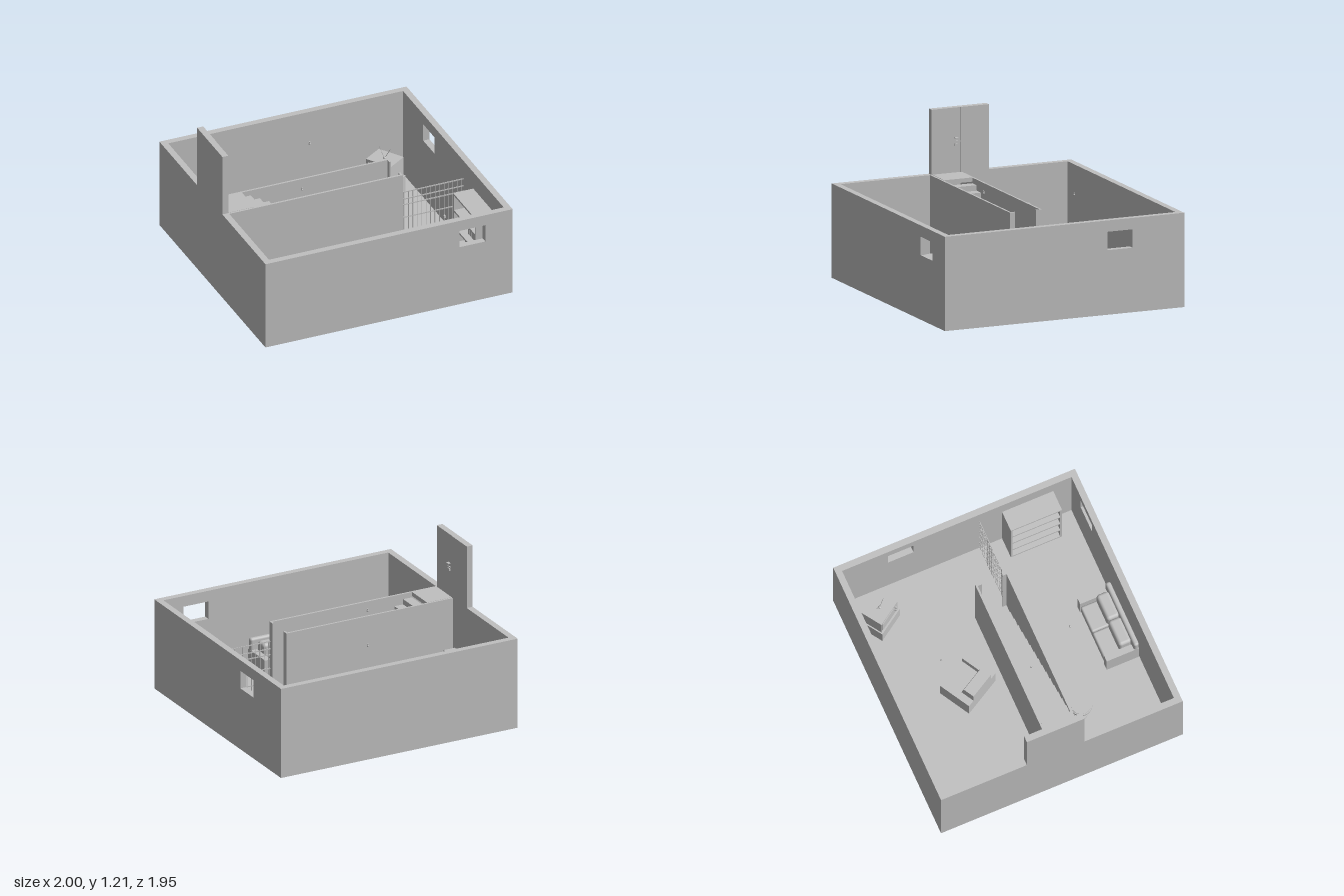
import * as THREE from 'three';
import { RoundedBoxGeometry } from 'three/addons/geometries/RoundedBoxGeometry.js';

// double sided because the walls are open underneath
const grey = new THREE.MeshStandardMaterial({ color: 0xc0c0c0, side: THREE.DoubleSide });
grey.name = 'plain grey';

const TOP = 0.716, FLOOR = 0.004, DEPTH = 0.977, T = 0.05;

function add(parent, name, geometry, x = 0, y = 0, z = 0) {
  const mesh = new THREE.Mesh(geometry, grey);
  mesh.name = name;
  mesh.position.set(x, y, z);
  parent.add(mesh);
  return mesh;
}

// box given by its lowest and highest corners
function span(parent, name, x0, x1, y0, y1, z0, z1) {
  return add(parent, name, new THREE.BoxGeometry(x1 - x0, y1 - y0, z1 - z0),
    (x0 + x1) / 2, (y0 + y1) / 2, (z0 + z1) / 2);
}

function softSpan(parent, name, x0, x1, y0, y1, z0, z1, r = 0.015) {
  return add(parent, name, new RoundedBoxGeometry(x1 - x0, y1 - y0, z1 - z0, 3, r),
    (x0 + x1) / 2, (y0 + y1) / 2, (z0 + z1) / 2);
}

// removes the faces lying on the underside
function openBelow(mesh) {
  const flat = mesh.geometry.index ? mesh.geometry.toNonIndexed() : mesh.geometry;
  flat.computeBoundingBox();
  const p = flat.attributes.position, low = flat.boundingBox.min.y + 1e-4, keep = [];
  for (let i = 0; i < p.count; i += 3) {
    if (Math.max(p.getY(i), p.getY(i + 1), p.getY(i + 2)) > low) keep.push(i, i + 1, i + 2);
  }
  flat.clearGroups();
  flat.setIndex(keep);
  mesh.geometry = flat;
}

const cylinder = (r, h, n = 24) => new THREE.CylinderGeometry(r, r, h, n);

function group(parent, name, x = 0, y = 0, z = 0, turn = 0) {
  const g = new THREE.Group();
  g.name = name;
  g.position.set(x, y, z);
  g.rotation.y = turn;
  parent.add(g);
  return g;
}

function extrude(points, depth, holes = []) {
  const toV = ([x, y]) => new THREE.Vector2(x, y);
  const shape = new THREE.Shape(points.map(toV));
  for (const h of holes) shape.holes.push(new THREE.Path(h.map(toV)));
  return new THREE.ExtrudeGeometry(shape, { depth, bevelEnabled: false });
}

const rect = (x0, x1, y0, y1) => [[x0, y0], [x1, y0], [x1, y1], [x0, y1]];

function buildShell(root) {
  const shell = group(root, 'outerWalls');
  add(shell, 'frontWall', extrude(rect(-1, 1, 0, TOP), T, [rect(0.57, 0.78, 0.49, 0.63)]), 0, 0, DEPTH - T);
  span(shell, 'backWall', -1, 1, 0, TOP, -DEPTH, -DEPTH + T);
  span(shell, 'doorWall', -1, -1 + T, 0, TOP, -DEPTH + T, DEPTH - T);
  // local x runs along -z once turned
  const side = add(shell, 'windowWall',
    extrude(rect(-DEPTH + T, DEPTH - T, 0, TOP), T, [rect(0.35, 0.555, 0.49, 0.63)]), 1 - T);
  side.rotation.y = Math.PI / 2;
  shell.children.forEach(openBelow);

  // floor pieces leave slots for the two partitions
  const f = group(root, 'floor');
  span(f, 'backFloor', -0.95, 0.95, 0, FLOOR, -DEPTH + T, -0.067);
  span(f, 'stairFloor', -0.95, 0.44, 0, FLOOR, -0.052, 0.18);
  span(f, 'endFloor', 0.44, 0.95, 0, FLOOR, -0.067, 0.196);
  span(f, 'frontFloor', -0.95, 0.95, 0, FLOOR, 0.196, DEPTH - T);
}

function buildEntrance(root) {
  const e = group(root, 'entrance');
  span(e, 'door', -1, -0.952, TOP, 1.21, -0.05, 0.183);
  span(e, 'doorSideWall', -1, -0.95, TOP, 1.21, -0.283, -0.05);
  // lock and handle on the inner face
  span(e, 'doorHandle', -0.943, -0.937, 0.952, 0.959, -0.045, -0.01);
  span(e, 'handleStem', -0.952, -0.94, 0.952, 0.959, -0.03, -0.022);
  span(e, 'doorBolt', -0.952, -0.93, 0.978, 0.984, -0.03, 0);
  span(e, 'keyPlate', -0.952, -0.942, 0.92, 0.938, -0.025, 0);
}

function buildStairs(root) {
  const s = group(root, 'staircase');
  span(s, 'landing', -0.95, -0.74, TOP - 0.03, TOP + 0.002, -0.052, 0.18);
  const steps = 16, run = 1.18 / steps, rise = (TOP - FLOOR) / (steps + 1);
  const outline = [[-0.74, FLOOR]];
  for (let i = 0; i < steps; i++) {
    const y = TOP - rise * (i + 1);
    outline.push([-0.74 + run * i, y], [-0.74 + run * (i + 1), y]);
  }
  outline.push([0.44, FLOOR]);
  add(s, 'steps', extrude(outline.reverse(), 0.232), 0, 0, -0.052);
  openBelow(span(s, 'backPartition', -0.95, 0.44, 0, TOP, -0.067, -0.052));
  openBelow(span(s, 'frontPartition', -0.95, 0.44, 0, TOP, 0.18, 0.196));
  span(s, 'backPost', 0.44, 0.455, FLOOR, TOP, -0.067, -0.02);
  span(s, 'frontPost', 0.44, 0.455, FLOOR, TOP, 0.152, 0.196);

  // lattice fence closing the front room
  const f = group(s, 'latticeFence');
  for (let x = 0.468; x < 0.945; x += 0.0358) span(f, 'fenceBar', x, x + 0.004, FLOOR, 0.565, 0.182, 0.187);
  for (const y of [0.02, 0.12, 0.23, 0.34, 0.45, 0.497, 0.557]) {
    span(f, 'fenceRail', 0.455, 0.95, y, y + 0.008, 0.182, 0.187);
  }
  span(f, 'gateLatch', 0.787, 0.8, 0.27, 0.29, 0.187, 0.202);
}

function buildSofa(root) {
  const s = group(root, 'sofa', 0, FLOOR, 0);
  span(s, 'sofaBase', -0.26, 0.185, 0.01, 0.08, 0.67, 0.89);
  softSpan(s, 'sofaBack', -0.31, 0.235, 0, 0.27, 0.885, 0.927, 0.018);
  for (const x of [-0.31, 0.183]) span(s, 'sofaArm', x, x + 0.052, 0, 0.18, 0.663, 0.925);
  for (const x of [-0.257, -0.036]) {
    softSpan(s, 'seatCushion', x, x + 0.217, 0.075, 0.125, 0.663, 0.885);
    softSpan(s, 'backCushion', x, x + 0.217, 0.125, 0.25, 0.787, 0.888, 0.025);
  }
}

function buildArmchair(root) {
  const c = group(root, 'armchair', -0.022, FLOOR, -0.335, 2.087);
  span(c, 'chairSeat', -0.108, 0.108, 0, 0.1, -0.012, 0.135);
  for (const s of [-1, 1]) span(c, 'chairArm', s * 0.1355 - 0.0275, s * 0.1355 + 0.0275, 0, 0.16, -0.135, 0.135);
  // reclined backrest, profile in depth and height
  const back = add(c, 'chairBack', extrude([[0.135, 0], [0.01, 0], [0.01, 0.1], [0.045, 0.25], [0.135, 0.25]], 0.216), -0.108);
  back.rotation.y = Math.PI / 2;
}

function buildTelevision(root) {
  const t = group(root, 'television', 0.713, FLOOR, -0.726, -0.985);
  span(t, 'televisionStand', -0.12, 0.12, 0, 0.14, -0.1, 0.1);
  span(t, 'televisionCase', -0.11, 0.11, 0.14, 0.3, -0.09, 0.085);
  span(t, 'screen', -0.095, 0.055, 0.16, 0.28, 0.085, 0.09);
  for (const y of [0.2, 0.25]) add(t, 'tuningKnob', cylinder(0.01, 0.015, 12), 0.082, y, 0.092).rotation.x = Math.PI / 2;
  add(t, 'antennaBase', new THREE.SphereGeometry(0.013, 12, 8), 0, 0.3, 0);
  for (const s of [-1, 1]) add(t, 'antenna', cylinder(0.002, 0.1, 6), s * 0.025, 0.345, 0).rotation.z = -s * 0.5;
}

function buildBookshelf(root) {
  const b = group(root, 'bookshelf');
  for (const z of [0.366, 0.765]) span(b, 'shelfSide', 0.787, 0.95, FLOOR, 0.575, z, z + 0.015);
  span(b, 'shelfBack', 0.94, 0.95, FLOOR, 0.575, 0.381, 0.765);
  for (let i = 0; i < 5; i++) {
    const y = FLOOR + i * 0.139;
    span(b, 'shelfBoard', 0.787, 0.94, y, y + 0.015, 0.381, 0.765);
  }
  for (let i = 0; i < 4; i++) for (let k = 0; k < 4; k++) {
    const z = 0.4 + k * 0.035 + i * 0.06, y = FLOOR + 0.015 + i * 0.139;
    span(b, 'book', 0.84, 0.935, y, y + 0.075 + (k % 2) * 0.015, z, z + 0.028);
  }
}

function buildSmallFurniture(root) {
  span(root, 'lowChest', -0.907, -0.553, FLOOR, 0.13, -0.914, -0.724);
  span(root, 'wallPanel', -0.95, -0.9, 0.29, 0.435, -0.605, -0.5);

  const c = group(root, 'cabinet');
  span(c, 'cabinetBody', -0.95, -0.855, FLOOR, 0.33, -0.303, -0.1);
  for (const s of [-1, 1]) {
    span(c, 'cabinetDoor', -0.855, -0.85, 0.03, 0.31, -0.2015 + s * 0.049 - 0.046, -0.2015 + s * 0.049 + 0.046);
    add(c, 'cabinetKnob', new THREE.SphereGeometry(0.006, 10, 8), -0.846, 0.2, -0.21 + s * 0.056);
  }
  span(c, 'cabinetPull', -0.899, -0.894, 0.33, 0.336, -0.23, -0.18);

  const t = group(root, 'roundTable', -0.55, FLOOR, 0.35);
  add(t, 'tableRim', cylinder(0.084, 0.02, 40), 0, 0.18, 0);
  add(t, 'tableTop', cylinder(0.075, 0.006, 40), 0, 0.193, 0);
  add(t, 'tableLeg', cylinder(0.014, 0.17), 0, 0.085, 0);
  add(t, 'tableFoot', cylinder(0.05, 0.012, 32), 0, 0.006, 0);

  add(root, 'smallBall', new THREE.SphereGeometry(0.009, 12, 10), 0.11, FLOOR + 0.009, 0.55);
}

function buildBulbs(root) {
  for (const [x, z] of [[0.02, -0.53], [-0.3, 0.06]]) {
    const l = group(root, 'lightBulb', x, TOP, z);
    add(l, 'bulbSocket', cylinder(0.005, 0.014, 12), 0, -0.007, 0);
    add(l, 'bulbGlass', new THREE.SphereGeometry(0.008, 12, 10), 0, -0.019, 0);
  }
}

export function createModel() {
  const root = new THREE.Group();
  root.name = 'basement';
  buildShell(root);
  buildEntrance(root);
  buildStairs(root);
  buildSofa(root);
  buildArmchair(root);
  buildTelevision(root);
  buildBookshelf(root);
  buildSmallFurniture(root);
  buildBulbs(root);
  return root;
}
